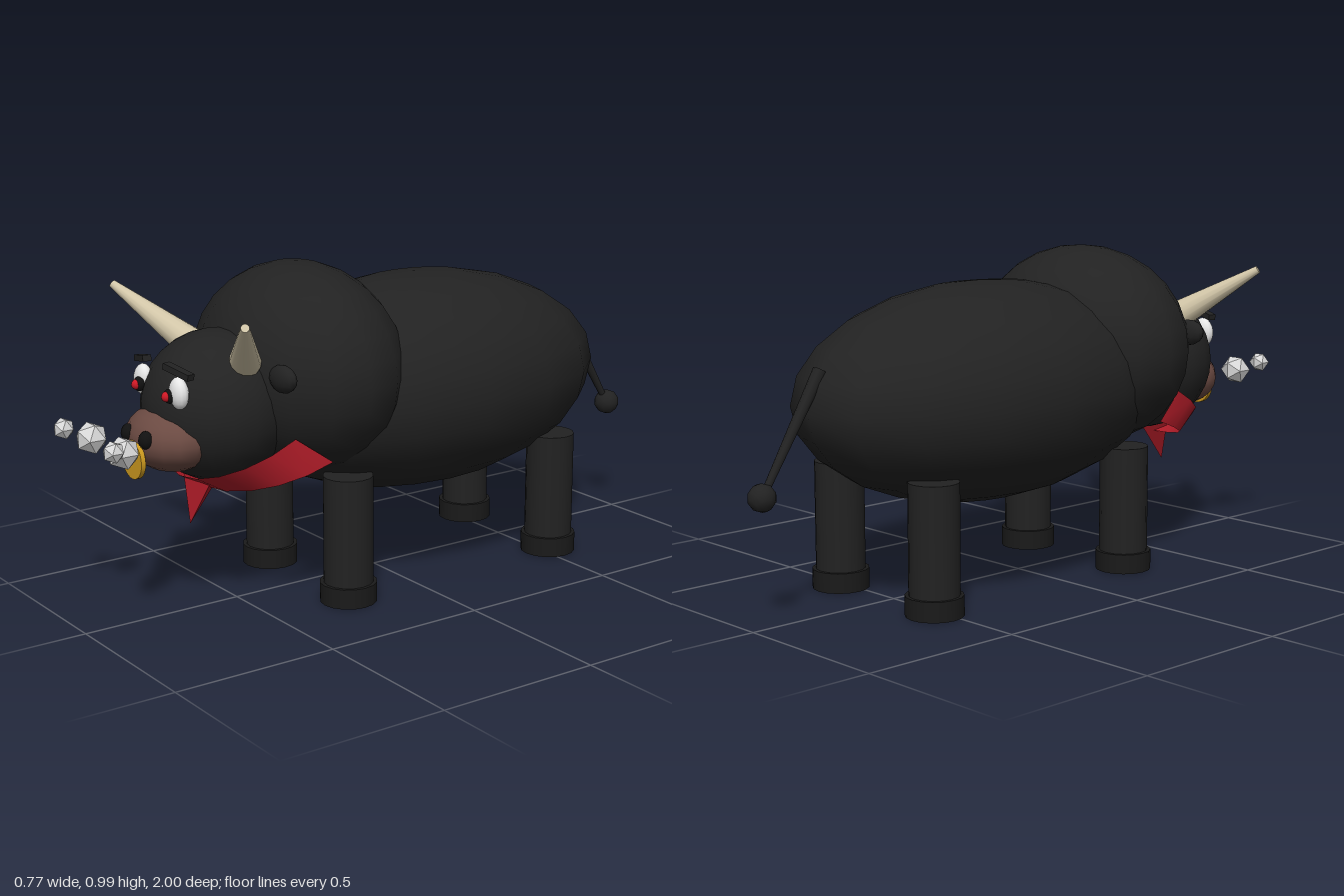
import * as THREE from 'three';

export function createModel() {
  const bull = new THREE.Group();
  bull.name = 'bull';

  const mat = (name, color, extra = {}) => {
    const m = new THREE.MeshStandardMaterial({ color, ...extra });
    m.name = name;
    return m;
  };
  const hide = mat('black hide', 0x222222);
  const hoofMat = mat('dark hoof', 0x1a1a1a);
  const hornMat = mat('ivory horn', 0xd2c6a8);
  const muzzleMat = mat('brown muzzle', 0x6b4a42);
  const cloth = mat('red cloth', 0xb01c28, { side: THREE.DoubleSide });
  const gold = mat('gold', 0xd09c20);
  const white = mat('eye white', 0xeeeeee);
  const redEye = mat('red iris', 0xd01825);
  const black = mat('nostril black', 0x111111);
  const steam = mat('steam grey', 0xd8d8d8, { flatShading: true });

  const add = (name, geo, material, x = 0, y = 0, z = 0) => {
    const mesh = new THREE.Mesh(geo, material);
    mesh.name = name;
    mesh.position.set(x, y, z);
    bull.add(mesh);
    return mesh;
  };
  const ball = (name, material, pos, radii, w = 16, h = 12) => {
    const m = add(name, new THREE.SphereGeometry(1, w, h), material, ...pos);
    m.scale.set(...radii);
    return m;
  };
  // tapered rod between two points
  const rod = (name, material, a, b, rA, rB, sides) => {
    const from = new THREE.Vector3(...a), dir = new THREE.Vector3(...b).sub(from);
    const m = add(name, new THREE.CylinderGeometry(rB, rA, dir.length(), sides), material);
    m.position.copy(from).addScaledVector(dir, 0.5);
    m.quaternion.setFromUnitVectors(new THREE.Vector3(0, 1, 0), dir.normalize());
    return m;
  };

  // main masses
  ball('body', hide, [0, 0.58, -0.15], [0.383, 0.327, 0.65]);
  ball('shoulderHump', hide, [0, 0.675, 0.275], [0.375, 0.31, 0.285], 16, 14);
  ball('head', hide, [0, 0.6, 0.555], [0.22, 0.22, 0.22], 20, 16);
  ball('muzzle', muzzleMat, [0, 0.53, 0.71], [0.15, 0.097, 0.12]);

  for (const s of [1, -1]) {
    const side = s > 0 ? 'left' : 'right';

    // legs and hooves
    for (const [end, z] of [['Front', 0.245], ['Back', -0.527]]) {
      add(`${side}${end}Leg`, new THREE.CylinderGeometry(0.074, 0.074, 0.345, 16), hide, s * 0.212, 0.2125, z);
      add(`${side}${end}Hoof`, new THREE.CylinderGeometry(0.085, 0.085, 0.06, 16), hoofMat, s * 0.212, 0.03, z);
    }

    // horns and ears
    rod(`${side}Horn`, hornMat, [s * 0.15, 0.752, 0.55], [s * 0.366, 0.906, 0.682], 0.046, 0.012, 14);
    ball(`${side}Ear`, hide, [s * 0.25, 0.715, 0.49], [0.062, 0.04, 0.025], 12, 8).rotation.z = s * 0.1;

    // face
    ball(`${side}Eye`, white, [s * 0.1, 0.68, 0.735], [0.037, 0.046, 0.025], 14, 10).rotation.z = s * 0.12;
    ball(`${side}Pupil`, black, [s * 0.085, 0.672, 0.757], [0.021, 0.021, 0.016], 10, 8);
    ball(`${side}Iris`, redEye, [s * 0.085, 0.672, 0.766], [0.015, 0.015, 0.015], 10, 8);
    const brow = add(`${side}Brow`, new THREE.BoxGeometry(0.1, 0.018, 0.025), hide, s * 0.1, 0.742, 0.735);
    brow.rotation.set(0, s * 0.25, -s * 0.2);
    ball(`${side}Nostril`, black, [s * 0.05, 0.547, 0.815], [0.024, 0.026, 0.022], 10, 8);

    // puffs of steam
    add(`${side}LargePuff`, new THREE.IcosahedronGeometry(0.048, 0), steam, s * 0.093, 0.537, 0.91);
    add(`${side}SmallPuff`, new THREE.IcosahedronGeometry(0.032, 0), steam, s * 0.146, 0.562, 0.968);
  }

  // nose disc
  const disc = add('noseDisc', new THREE.CylinderGeometry(0.056, 0.056, 0.014, 24), gold, 0, 0.482, 0.828);
  disc.rotation.x = Math.PI / 2;

  // tail and tuft
  rod('tail', hide, [0, 0.7, -0.755], [0, 0.375, -0.955], 0.02, 0.01, 8);
  add('tailTuft', new THREE.IcosahedronGeometry(0.041, 1), hide, 0, 0.37, -0.96);

  // neckerchief: a sloping half band, upper edge to lower edge
  const steps = 10, pos = [], idx = [];
  for (let i = 0; i <= steps; i++) {
    const a = -Math.PI / 2 + (Math.PI * i) / steps, f = Math.cos(a);
    pos.push(0.25 * Math.sin(a), 0.535 - 0.125 * f, 0.45 + 0.235 * f);
    pos.push(0.275 * Math.sin(a), 0.455 - 0.095 * f, 0.34 + 0.255 * f);
    if (i < steps) {
      const k = i * 2;
      idx.push(k, k + 1, k + 2, k + 1, k + 3, k + 2);
    }
  }
  const band = new THREE.BufferGeometry();
  band.setAttribute('position', new THREE.Float32BufferAttribute(pos, 3));
  band.setIndex(idx);
  band.computeVertexNormals();
  add('neckerchiefBand', band, cloth);

  // hanging point of the neckerchief
  const point = new THREE.ConeGeometry(0.06, 0.145, 4).toNonIndexed();
  point.computeVertexNormals();
  point.rotateX(Math.PI);
  add('neckerchiefPoint', point, cloth, 0, 0.328, 0.632).rotation.x = -0.28;

  return bull;
}
